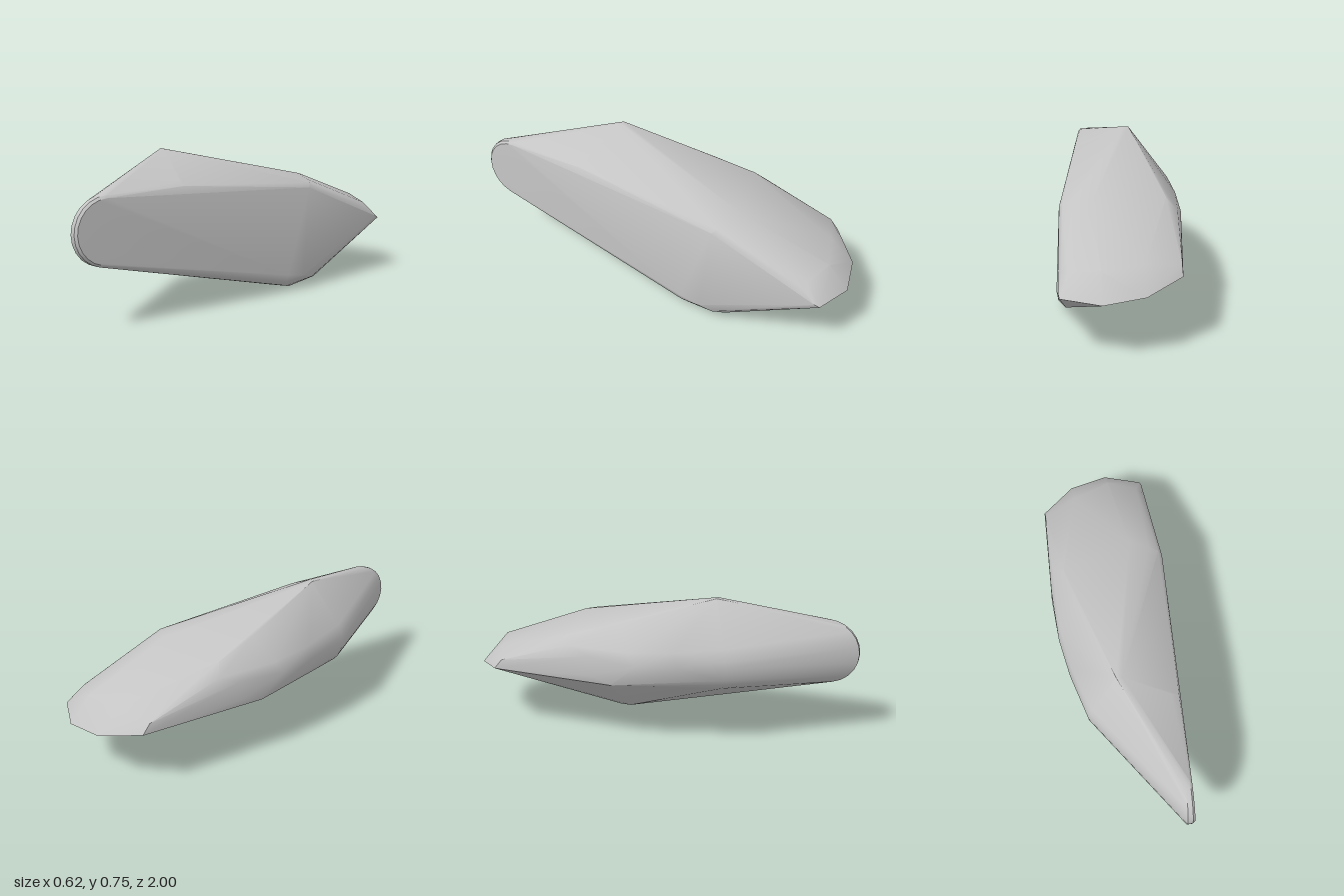
import * as THREE from 'three';
import { ConvexGeometry } from 'three/addons/geometries/ConvexGeometry.js';
import { toCreasedNormals } from 'three/addons/utils/BufferGeometryUtils.js';

// A faceted, softly worn stone: the convex hull of a few edge sections
export function createModel() {
  const group = new THREE.Group();
  const stone = new THREE.MeshStandardMaterial({ color: 0xc4c4c4 });
  stone.name = 'stoneGrey';

  const points = [];
  const add = (x, y, z) => points.push(new THREE.Vector3(x, y, z));

  // Rounded nose, running from the front tip to the left shoulder
  const steps = 12;
  for (let i = 0; i <= steps; i++) {
    const a = (i / steps - 0.5) * Math.PI;
    const s = Math.sin(a), c = Math.cos(a);
    add(0.245, 0.455 + 0.167 * s, 0.83 + 0.17 * c);
    add(0.272 - 0.004 * s, 0.455 + 0.164 * s, 0.83 + 0.168 * c);
    add(0.284 - 0.006 * s, 0.455 + 0.152 * s, 0.83 + 0.157 * c);
    add(-0.11 - 0.068 * c, 0.45 + 0.13 * s, 0.38 + 0.05 * c);
  }

  const edges = [
    // summit
    [-0.03, 0.755, 0.33], [-0.002, 0.755, 0.33],
    // upper left ridge
    [-0.18, 0.618, -0.12], [-0.232, 0.565, -0.33], [-0.288, 0.508, -0.36],
    // left flank
    [-0.25, 0.45, 0.2], [-0.24, 0.52, 0.18], [-0.29, 0.44, 0], [-0.28, 0.505, -0.05],
    [-0.306, 0.47, -0.25], [-0.31, 0.37, -0.25], [-0.3, 0.33, -0.13], [-0.22, 0.335, 0.15],
    // back rim, lower then upper
    [-0.31, 0.335, -0.78], [-0.305, 0.385, -0.74], [-0.15, 0.298, -0.94],
    [0.04, 0.282, -1], [0.23, 0.288, -0.945], [0.238, 0.3, -0.92],
    [-0.14, 0.405, -0.82], [0.05, 0.402, -0.9], [0.2, 0.378, -0.86], [0.23, 0.365, -0.84],
    // upper right edge
    [0.12, 0.572, -0.45], [0.215, 0.557, -0.42], [0.262, 0.545, -0.4], [0.281, 0.525, -0.38],
    [0.23, 0.635, 0.4], [0.268, 0.615, 0.4],
    // worn lower corner
    [0.31, 0.09, -0.22], [0.306, 0.07, -0.33], [0.29, 0.05, -0.4], [0.25, 0.035, -0.45],
    [0.225, 0, -0.3], [0.2, 0.012, -0.23], [0.26, 0.018, -0.25], [0.29, 0.05, -0.22],
  ];
  edges.forEach((p) => add(...p));

  const body = new THREE.Mesh(toCreasedNormals(new ConvexGeometry(points), 0.6), stone);
  body.name = 'stoneBody';
  group.add(body);
  return group;
}
